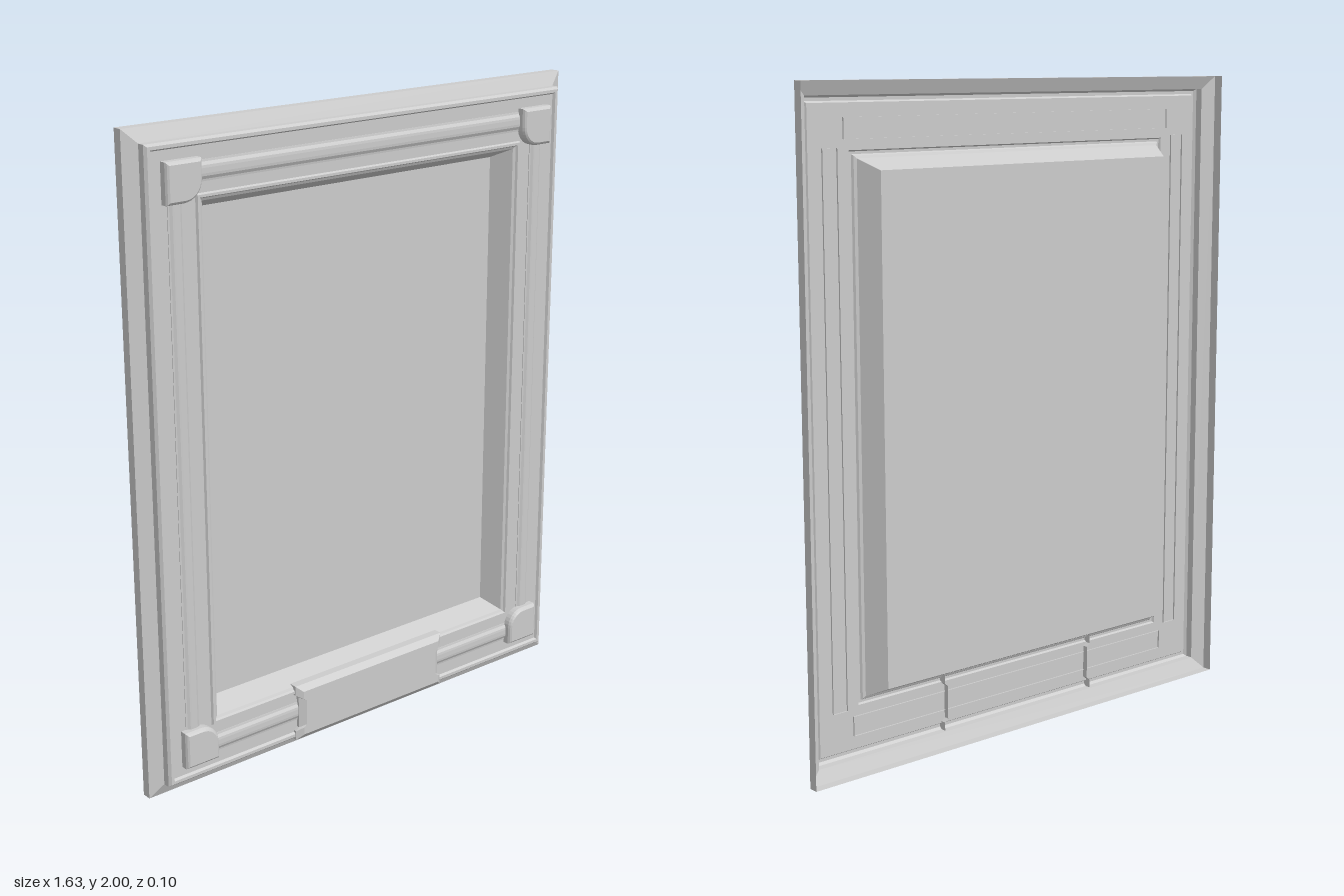
import * as THREE from 'three';

const W = 0.813; // half width of the frame
const mat = new THREE.MeshStandardMaterial({ color: 0xcccccc, flatShading: true, side: THREE.DoubleSide });

function meshFrom(pos, name) {
  const g = new THREE.BufferGeometry();
  g.setAttribute('position', new THREE.Float32BufferAttribute(pos, 3));
  g.computeVertexNormals();
  const m = new THREE.Mesh(g, mat);
  m.name = name;
  return m;
}

// Joins closed rings of points, counter-clockwise from the front, back to front
function skin(rings, cap) {
  const pos = [];
  const n = rings[0].length;
  for (let i = 0; i < rings.length - 1; i++) {
    for (let k = 0; k < n; k++) {
      const a = rings[i][k], b = rings[i][(k + 1) % n];
      const c = rings[i + 1][(k + 1) % n], d = rings[i + 1][k];
      pos.push(...a, ...b, ...c, ...a, ...c, ...d);
    }
  }
  if (cap) {
    const last = rings[rings.length - 1];
    for (let k = 0; k < n; k++) pos.push(0, 0, last[0][2], ...last[k], ...last[(k + 1) % n]);
  }
  return pos;
}

// Open-backed raised ornament: outline lofted through levels of [z, scaleX, scaleY]
function ornament(name, outline, levels, x, y) {
  if (THREE.ShapeUtils.area(outline) < 0) outline = outline.slice().reverse();
  const rings = levels.map(([z, sx, sy]) => outline.map(p => [p.x * sx, p.y * sy, z]));
  const m = meshFrom(skin(rings, true), name);
  m.position.set(x, y, 0);
  return m;
}

const points = list => list.map(([x, y]) => new THREE.Vector2(x, y));

export function createModel() {
  const group = new THREE.Group();
  group.name = 'pictureFrame';

  // Mitred moulding: [inset from the outer edge, z]
  const profile = [
    [0, -0.051], [0, -0.021], [0.043, -0.003], [0.043, 0.02], [0.05, 0.028],
    [0.06, 0.028], [0.065, 0.02], [0.203, 0.02], [0.207, 0.027], [0.215, 0.027],
    [0.219, 0.02], [0.227, 0.016], [0.26, -0.051],
  ];
  const rings = profile.map(([d, z]) => {
    const x = W - d, lo = d * 0.95, hi = 2 - lo;
    return [[-x, lo, z], [x, lo, z], [x, hi, z], [-x, hi, z]];
  });
  group.add(meshFrom(skin(rings, false), 'moulding'));

  // Flat picture panel at the back
  const panel = new THREE.Mesh(new THREE.PlaneGeometry(2 * (W - 0.26), 2 - 0.52 * 0.95), mat);
  panel.name = 'picturePanel';
  panel.position.set(0, 1, -0.051);
  group.add(panel);

  // Ribs running between the corner blocks
  function rib(name, hx, hy, x, y) {
    const tall = hy > hx;
    const levels = [[0.015, 1], [0.022, 1], [0.023, 0.8], [0.028, 0.5], [0.029, 0.25]]
      .map(([z, s]) => (tall ? [z, s, 1] : [z, 1, s]));
    group.add(ornament(name, points([[-hx, -hy], [hx, -hy], [hx, hy], [-hx, hy]]), levels, x, y));
  }

  // Corner block with its inner corner rounded
  function block(sx, sy) {
    const h = 0.059, r = 0.06;
    const outline = [[h, -h], [h, h], [-h, h]];
    for (let i = 0; i <= 8; i++) {
      const a = Math.PI + (i / 8) * Math.PI / 2;
      outline.push([-h + r + r * Math.cos(a), -h + r + r * Math.sin(a)]);
    }
    const levels = [[0.02, 1, 1], [0.04, 1, 1], [0.047, 0.94, 0.94], [0.051, 0.85, 0.85]];
    group.add(ornament('cornerBlock', points(outline.map(([x, y]) => [x * sx, y * sy])),
      levels, sx * 0.66, 1 + sy * 0.85));
  }

  for (const s of [-1, 1]) {
    rib('sideRib', 0.025, 0.815, s * 0.677, 1);
    rib(s > 0 ? 'topRib' : 'bottomRib', 0.63, 0.03, 0, 1 + s * 0.868);
    for (const t of [-1, 1]) block(s, t);
  }

  // Name plaque with notched ends
  const right = [[0.3, -0.0925], [0.3, -0.062], [0.288, -0.052], [0.288, 0.052], [0.3, 0.062], [0.3, 0.0925]];
  const plaque = points([...right, ...right.map(([x, y]) => [-x, -y])]);
  group.add(ornament('plaque', plaque, [[0.003, 1, 1], [0.03, 1, 1], [0.045, 0.93, 0.8]], 0, 0.129));

  return group;
}
